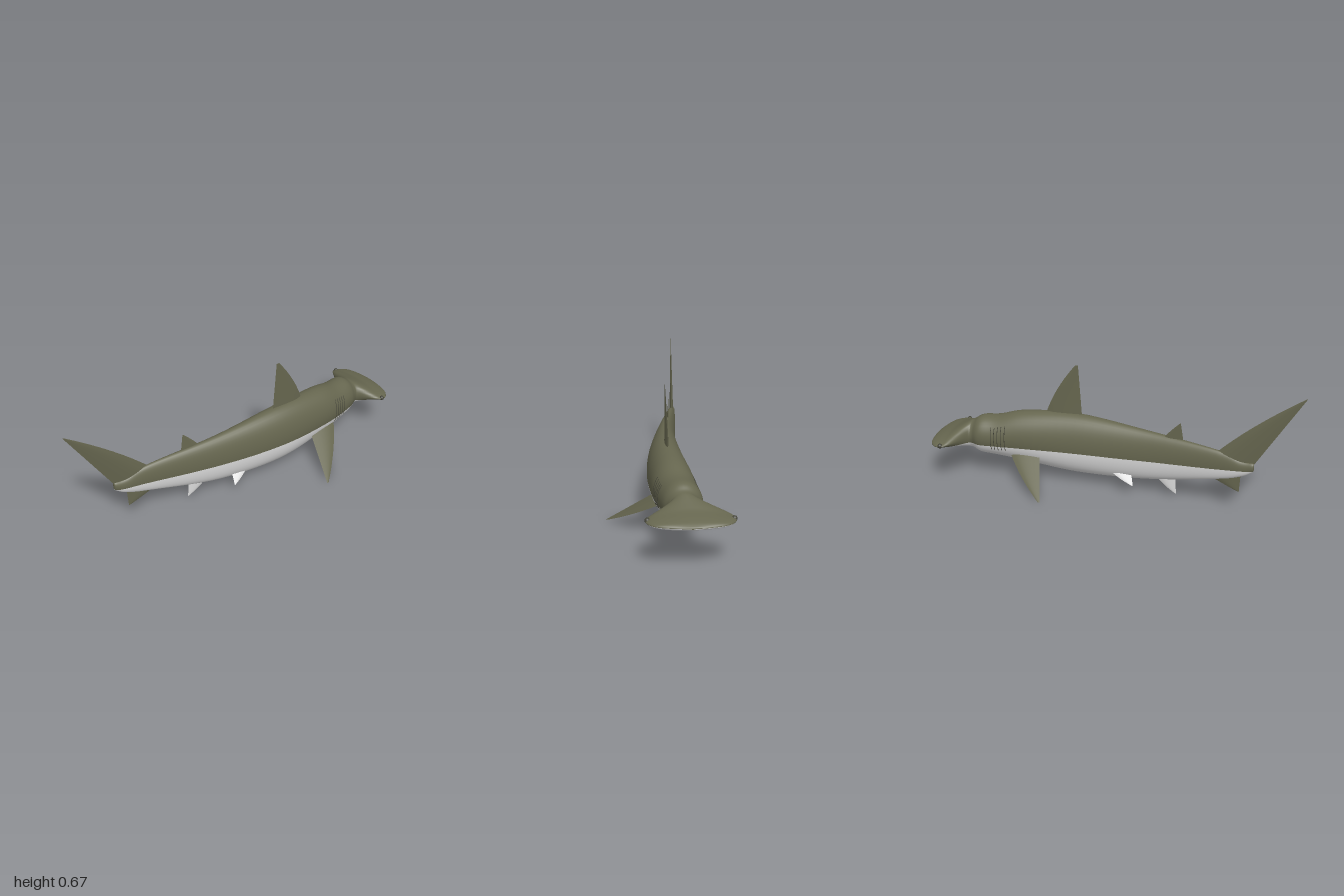
import * as THREE from 'three';

const mat = (name, color) => {
  const m = new THREE.MeshStandardMaterial({ color });
  m.name = name;
  return m;
};

// Body stations: x, top, bottom, half width, centre z
const STATIONS = [
  [-0.765, 0.285, 0.25, 0.004, -0.115],
  [-0.755, 0.29, 0.238, 0.014, -0.113],
  [-0.7, 0.293, 0.205, 0.02, -0.105],
  [-0.57, 0.33, 0.165, 0.028, -0.088],
  [-0.18, 0.365, 0.082, 0.058, -0.028],
  [0.2, 0.4, 0.06, 0.093, 0],
  [0.5, 0.39, 0.098, 0.105, -0.012],
  [0.65, 0.357, 0.122, 0.101, -0.03],
  [0.74, 0.35, 0.135, 0.095, -0.043],
  [0.785, 0.325, 0.155, 0.077, -0.045],
  [0.81, 0.315, 0.165, 0.088, -0.052],
  [0.865, 0.288, 0.188, 0.178, -0.065],
  [0.9, 0.272, 0.195, 0.203, -0.065],
  [0.94, 0.26, 0.2, 0.193, -0.065],
  [0.975, 0.248, 0.212, 0.15, -0.065],
  [0.995, 0.237, 0.222, 0.065, -0.065],
  [1, 0.232, 0.226, 0.01, -0.065],
];

// Height of the line between back and belly, rising towards tail and snout
const colourLine = (x) => 0.205 + 0.042 * Math.max(0, -x / 0.76) ** 1.5
  + 0.024 * THREE.MathUtils.smoothstep(x, 0.78, 0.95);

// The head sections thin out towards their sides; the rest are ellipses
const taper = (x) => 1 + 0.5 * Math.exp(-(((x - 0.89) / 0.05) ** 2));

// Smooth interpolation between stations
function section(t) {
  const last = STATIONS.length - 1;
  const i = Math.min(Math.floor(t), last - 1), f = t - i;
  const at = (k) => STATIONS[Math.max(0, Math.min(last, k))];
  return STATIONS[0].map((_, c) => {
    const [a, b, d, e] = [at(i - 1)[c], at(i)[c], at(i + 1)[c], at(i + 2)[c]];
    return b + 0.5 * f * (d - a + f * (2 * a - 5 * b + 4 * d - e + f * (3 * (b - d) + e - a)));
  });
}

// Point on the body surface at an angle around its section
function surfacePoint([x, top, bottom, w, zc], angle) {
  const s = Math.sin(angle);
  const y = (top + bottom) / 2 + ((top - bottom) / 2) * Math.sign(s) * Math.abs(s) ** taper(x);
  return new THREE.Vector3(x, y, zc + w * Math.cos(angle));
}

// Back and belly share vertices, so the shading stays smooth across the colour line
function bodyGeometry() {
  const SUB = 7, UP = 22, LOW = 18, N = UP + LOW;
  const rows = (STATIONS.length - 1) * SUB;
  const pos = [], upper = [], lower = [];
  for (let i = 0; i <= rows; i++) {
    const s = section(i / SUB);
    const [x, top, bottom] = s;
    const k = THREE.MathUtils.clamp((2 * colourLine(x) - top - bottom) / (top - bottom), -0.85, 0.85);
    const a0 = Math.sign(k) * Math.asin(Math.abs(k) ** (1 / taper(x)));
    for (let j = 0; j < N; j++) {
      const a = j < UP
        ? a0 + (Math.PI - 2 * a0) * (j / UP)
        : Math.PI - a0 + (Math.PI + 2 * a0) * ((j - UP) / LOW);
      pos.push(...surfacePoint(s, a).toArray());
    }
  }
  for (let i = 0; i < rows; i++) {
    for (let j = 0; j < N; j++) {
      const a = i * N + j, b = i * N + ((j + 1) % N);
      (j < UP ? upper : lower).push(a, a + N, b + N, a, b + N, b);
    }
  }
  // End caps
  const e = rows * N;
  for (let j = 1; j < N - 1; j++) upper.push(0, j, j + 1, e, e + j + 1, e + j);

  const g = new THREE.BufferGeometry();
  g.setAttribute('position', new THREE.Float32BufferAttribute(pos, 3));
  g.setIndex([...upper, ...lower]);
  g.addGroup(0, upper.length, 0);
  g.addGroup(upper.length, lower.length, 1);
  g.computeVertexNormals();
  return g;
}

// Thin lens-shaped fin from the two ends of its root to its tip; bulge bows the
// leading edge, and slot picks the material for each side and row.
function finGeometry({ lead, trail, tip, half, bulge, tipWidth = 0.004 }, slot = () => 0) {
  const ROWS = 8, C = 6, pos = [], index = [];
  const [L, T, P] = [lead, trail, tip].map((p) => new THREE.Vector3(...p));
  const forward = L.clone().sub(T).normalize();
  const tipLead = P.clone().addScaledVector(forward, tipWidth);
  const n = P.clone().sub(L).cross(T.clone().sub(L)).normalize();
  const g = new THREE.BufferGeometry();
  [1, -1].forEach((side, si) => {
    const base = pos.length / 3;
    for (let r = 0; r <= ROWS; r++) {
      const f = r / ROWS;
      const a = L.clone().lerp(tipLead, f).addScaledVector(forward, bulge * 4 * f * (1 - f));
      const b = T.clone().lerp(P, f);
      for (let c = 0; c <= C; c++) {
        const thick = half * (1 - 0.95 * f) * Math.sin(Math.PI * (c / C) ** 0.7);
        pos.push(...a.clone().lerp(b, c / C).addScaledVector(n, side * thick).toArray());
      }
    }
    for (let r = 0; r < ROWS; r++) {
      const start = index.length;
      for (let c = 0; c < C; c++) {
        const a = base + r * (C + 1) + c, b = a + C + 1;
        if (side > 0) index.push(a, b, b + 1, a, b + 1, a + 1);
        else index.push(a, b + 1, b, a, a + 1, b + 1);
      }
      g.addGroup(start, index.length - start, slot(si, r));
    }
  });
  g.setAttribute('position', new THREE.Float32BufferAttribute(pos, 3));
  g.setIndex(index);
  g.computeVertexNormals();
  return g;
}

export function createModel() {
  const model = new THREE.Group();
  const olive = mat('olive back', 0x66664f);
  const pale = mat('pale belly', 0xdcdcdc);
  const dark = mat('dark olive', 0x45453a);
  const add = (name, geometry, material) => {
    const m = new THREE.Mesh(geometry, material);
    m.name = name;
    model.add(m);
    return m;
  };

  add('body', bodyGeometry(), [olive, pale]);

  // Fins along the midline
  add('dorsalFin', finGeometry({
    lead: [0.39, 0.37, 0], trail: [0.18, 0.37, 0], tip: [0.2, 0.675, 0.002],
    half: 0.011, bulge: 0.02, tipWidth: 0.016,
  }), [olive]);
  add('secondDorsalFin', finGeometry({
    lead: [-0.27, 0.33, -0.05], trail: [-0.39, 0.33, -0.058], tip: [-0.372, 0.44, -0.06],
    half: 0.006, bulge: 0.005,
  }), [olive]);
  add('upperTailFin', finGeometry({
    lead: [-0.55, 0.3, -0.09], trail: [-0.75, 0.26, -0.112], tip: [-1, 0.67, -0.122],
    half: 0.011, bulge: 0.02,
  }), [olive]);
  add('lowerTailFin', finGeometry({
    lead: [-0.53, 0.18, -0.084], trail: [-0.7, 0.225, -0.105], tip: [-0.695, 0.115, -0.104],
    half: 0.007, bulge: 0.003,
  }), [olive]);
  add('analFin', finGeometry({
    lead: [-0.24, 0.12, -0.04], trail: [-0.35, 0.14, -0.054], tip: [-0.357, 0.03, -0.058],
    half: 0.006, bulge: 0.012,
  }), [pale]);

  // Paired fins, eyes and gills on both sides
  for (const s of [1, -1]) {
    const side = s > 0 ? 'left' : 'right';
    const under = s > 0 ? 0 : 1;
    // Pale underside with an olive tip
    add(side + 'PectoralFin', finGeometry({
      lead: [0.59, 0.178, s * 0.06], trail: [0.41, 0.178, s * 0.06], tip: [0.325, 0.003, s * 0.307],
      half: 0.01, bulge: 0.018, tipWidth: 0.01,
    }, (si, r) => (si === under && r < 5 ? 1 : 0)), [olive, pale]);

    add(side + 'PelvicFin', finGeometry({
      lead: [0, 0.108, -0.022 + s * 0.033], trail: [-0.11, 0.108, -0.022 + s * 0.033],
      tip: [-0.132, 0.066, -0.022 + s * 0.085], half: 0.006, bulge: 0.01,
    }), [pale]);

    const eye = add(side + 'Eye', new THREE.SphereGeometry(0.013, 16, 12), dark);
    eye.position.set(0.905, 0.235, -0.065 + s * 0.194);

    // Gill slits hugging the flank
    for (let i = 0; i < 5; i++) {
      const sec = section(6.5 + i * 0.16);
      const pts = [];
      for (let k = 0; k <= 8; k++) {
        const a = -0.5 + 1.15 * (k / 8);
        pts.push(surfacePoint(sec, s > 0 ? a : Math.PI - a));
      }
      add(side + 'GillSlit' + (i + 1),
        new THREE.TubeGeometry(new THREE.CatmullRomCurve3(pts), 16, 0.0018, 5), dark);
    }
  }
  return model;
}
